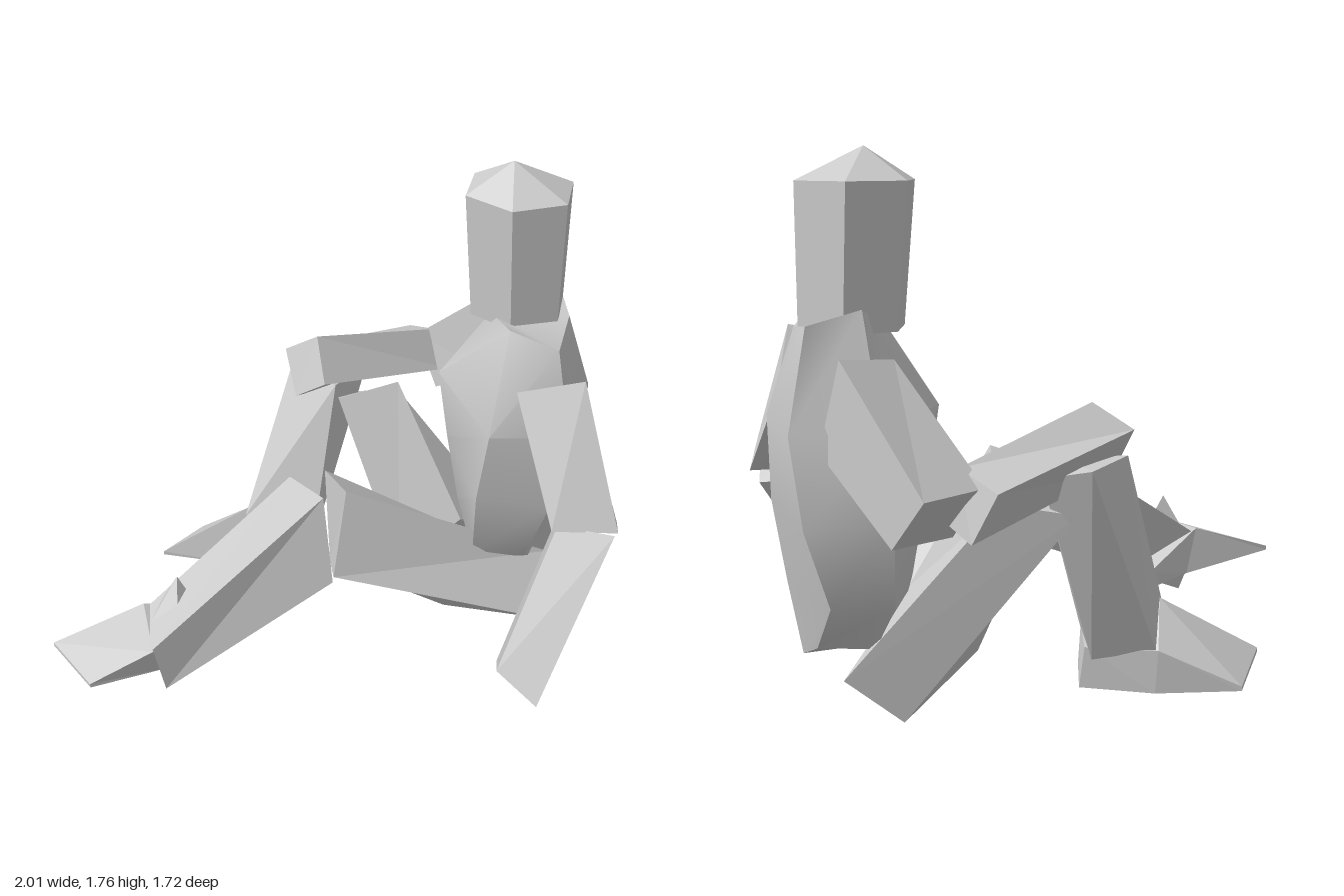
import * as THREE from 'three';
import { toCreasedNormals } from 'three/addons/utils/BufferGeometryUtils.js';

const grey = new THREE.MeshStandardMaterial({ color: 0xcccccc, flatShading: true });
const smoothGrey = new THREE.MeshStandardMaterial({ color: 0xcccccc });

// Closed skin over a row of equal-sized cross-sections, always wound outwards
function loft(sections) {
  const n = sections[0].length;
  const pts = sections.flat();
  const tris = [];
  for (let s = 0; s < sections.length - 1; s++) {
    for (let i = 0; i < n; i++) {
      const a = s * n + i, b = s * n + (i + 1) % n;
      tris.push([a, b, b + n], [a, b + n, a + n]);
    }
  }
  const last = (sections.length - 1) * n;
  for (let i = 1; i < n - 1; i++) {
    tris.push([0, i + 1, i], [last, last + i, last + i + 1]);
  }
  const v = pts.map((p) => new THREE.Vector3(...p));
  const mid = v.reduce((m, p) => m.add(p), new THREE.Vector3()).divideScalar(v.length);
  v.forEach((p) => p.sub(mid));
  let volume = 0;
  for (const [a, b, c] of tris) volume += v[a].dot(v[b].clone().cross(v[c]));
  if (volume < 0) tris.forEach((t) => t.reverse());
  const g = new THREE.BufferGeometry();
  g.setAttribute('position', new THREE.Float32BufferAttribute(pts.flat(), 3));
  g.setIndex(tris.flat());
  g.computeVertexNormals();
  return g;
}

export function createModel() {
  const model = new THREE.Group();
  model.name = 'seatedFigure';
  const add = (name, geometry, material = grey) => {
    const mesh = new THREE.Mesh(geometry, material);
    mesh.name = name;
    model.add(mesh);
  };
  const limb = (name, ...sections) => add(name, loft(sections));

  // Torso: six-sided mirrored rings, turned to face the -x -z corner. Each ring lists
  // [half width, height, forward] for breastbone, front corner, back corner and spine
  const rings = [
    [[0, 0.2, -0.42], [0.17, 0.24, -0.48], [0.12, 0.23, -0.66], [0, 0.17, -0.71]],
    [[0, 0.42, -0.36], [0.32, 0.42, -0.42], [0.31, 0.42, -0.61], [0, 0.42, -0.755]],
    [[0, 0.7, -0.31], [0.385, 0.7, -0.42], [0.355, 0.67, -0.68], [0, 0.68, -0.795]],
    [[0, 0.97, -0.27], [0.41, 0.97, -0.45], [0.355, 0.95, -0.715], [0, 0.95, -0.8]],
    [[0, 1.22, -0.44], [0.27, 1.3, -0.5], [0.32, 1.26, -0.66], [0, 1.22, -0.71]],
  ];
  const place = (l, y, f) => [-Math.SQRT1_2 * (l - 0.355 + f), y, Math.SQRT1_2 * (l - 0.355 - f)];
  const torso = loft(rings.map(([chest, front, back, spine]) => [
    place(...chest), place(...front), place(...back), place(...spine),
    place(-back[0], back[1], back[2]), place(-front[0], front[1], front[2]),
  ]));
  add('torso', toCreasedNormals(torso, 0.65), smoothGrey);

  // Head: hexagonal block, wider at the top, with a low pointed crown
  const headRing = (y, r, x, z) => Array.from({ length: 6 }, (_, i) => {
    const a = (i / 6) * Math.PI * 2 + 0.12;
    return [x + Math.sin(a) * r, y, z + Math.cos(a) * r];
  });
  limb('head', headRing(1.22, 0.172, 0.662, 0.09), headRing(1.66, 0.192, 0.645, 0.08),
    headRing(1.76, 0.001, 0.62, 0.07));

  // Left arm, propped on the ground side
  limb('leftUpperArm',
    [[0.52, 1.18, 0.54], [0.35, 1.14, 0.4], [0.49, 0.93, 0.34], [0.66, 0.97, 0.45]],
    [[0.46, 0.74, 0.79], [0.28, 0.76, 0.66], [0.4, 0.67, 0.55], [0.58, 0.67, 0.69]]);
  limb('leftForearm',
    [[0.54, 0.62, 0.69], [0.43, 0.75, 0.8], [0.32, 0.76, 0.65], [0.45, 0.64, 0.53]],
    [[0.18, 0.16, 0.75], [0.05, 0.27, 0.86], [0, 0.36, 0.72], [0.13, 0.24, 0.6]]);

  // Right arm, forearm resting over the raised knee
  limb('rightUpperArm',
    [[0.71, 1.15, -0.13], [0.95, 1.18, -0.15], [0.94, 0.9, -0.05], [0.7, 0.88, -0.05]],
    [[0.74, 0.83, -0.5], [0.99, 0.84, -0.5], [0.97, 0.68, -0.36], [0.72, 0.66, -0.36]]);
  limb('rightForearm',
    [[0.76, 0.88, -0.42], [0.77, 0.83, -0.57], [0.8, 0.68, -0.5], [0.77, 0.73, -0.35]],
    [[0.24, 1, -0.5], [0.18, 0.92, -0.615], [0.15, 0.77, -0.52], [0.2, 0.85, -0.41]]);

  // Right leg, knee raised
  limb('rightThigh',
    [[0.31, 0.13, -0.1], [0.48, 0.36, 0.05], [0.8, 0.15, 0.02], [0.66, 0, -0.1]],
    [[0.25, 0.78, -0.39], [0.41, 0.86, -0.24], [0.53, 0.72, -0.38], [0.37, 0.68, -0.55]]);
  limb('rightShin',
    [[0.43, 0.84, -0.64], [0.46, 0.8, -0.48], [0.26, 0.82, -0.42], [0.19, 0.84, -0.6]],
    [[0.09, 0.2, -0.65], [0.2, 0.16, -0.48], [0.08, 0.2, -0.35], [-0.08, 0.3, -0.56]]);
  limb('rightFoot',
    [[0.21, 0.06, -0.44], [0.08, 0.08, -0.34], [0.08, 0.22, -0.35], [0.21, 0.2, -0.46]],
    [[0.09, 0.055, -0.65], [-0.12, 0.07, -0.57], [-0.05, 0.32, -0.57], [0.09, 0.2, -0.66]],
    [[-0.09, 0.06, -0.86], [-0.33, 0.1, -0.78], [-0.33, 0.115, -0.78], [-0.09, 0.075, -0.86]]);

  // Left leg, stretched forward
  limb('leftThigh',
    [[0.58, 0.37, 0.4], [0.49, 0.16, 0.5], [0.34, 0.06, 0.12], [0.45, 0.34, 0.04]],
    [[-0.08, 0.75, 0.05], [-0.18, 0.46, 0.1], [-0.05, 0.35, -0.08], [-0.02, 0.71, -0.14]]);
  limb('leftShin',
    [[-0.18, 0.77, 0.05], [-0.2, 0.46, 0.12], [-0.1, 0.38, -0.08], [-0.13, 0.7, -0.2]],
    [[-0.8, 0.35, -0.1], [-0.77, 0.16, -0.09], [-0.7, 0.11, -0.24], [-0.73, 0.32, -0.31]]);
  limb('leftFoot',
    [[-0.47, 0.24, -0.18], [-0.45, 0.24, -0.27], [-0.45, 0.18, -0.27], [-0.47, 0.19, -0.18]],
    [[-0.8, 0.34, -0.1], [-0.7, 0.36, -0.31], [-0.64, 0.2, -0.31], [-0.72, 0.21, -0.12]],
    [[-1, 0.25, -0.19], [-0.99, 0.25, -0.45], [-0.99, 0.235, -0.45], [-1, 0.235, -0.19]]);

  // Pointed spur above the left ankle
  const apex = [-0.61, 0.49, -0.22];
  limb('leftAnkle', [[-0.74, 0.34, -0.22], [-0.66, 0.34, -0.29], [-0.57, 0.38, -0.18], [-0.68, 0.34, -0.13]],
    [apex, apex, apex, apex]);

  return model;
}
